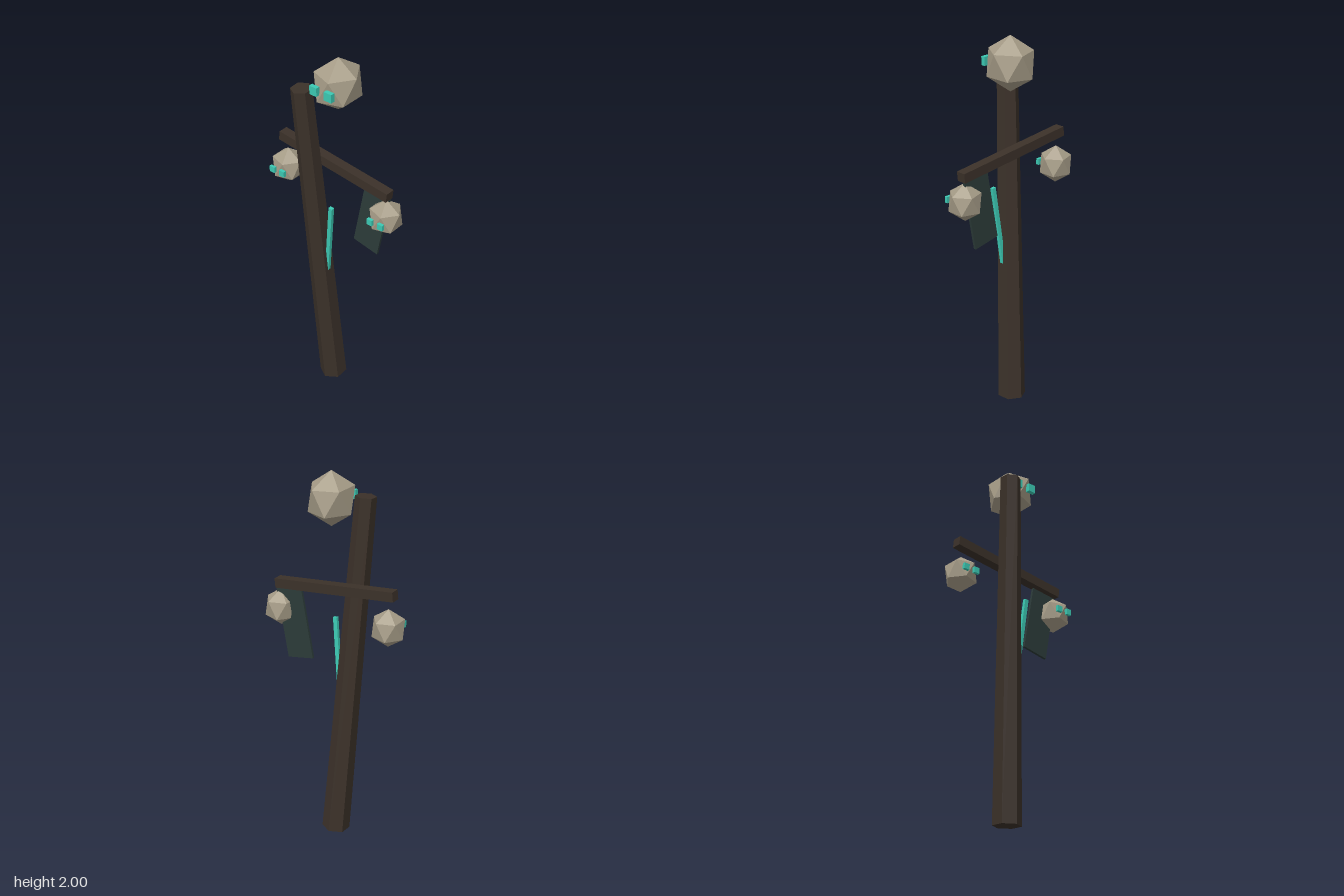
import * as THREE from 'three';

const material = (name, color) => {
  const m = new THREE.MeshStandardMaterial({ color, flatShading: true });
  m.name = name;
  return m;
};

export function createModel() {
  const group = new THREE.Group();
  group.name = 'skullTotem';
  const wood = material('dark wood', 0x3b3129);
  const bone = material('bone', 0xa79d88);
  const glow = material('teal glow', 0x3cc9b3);
  const cloth = material('dark cloth', 0x2c3b39);

  const add = (parent, name, geometry, mat, position, rotation = [0, 0, 0]) => {
    const mesh = new THREE.Mesh(geometry, mat);
    mesh.name = name;
    mesh.position.set(...position);
    mesh.rotation.set(...rotation);
    parent.add(mesh);
    return mesh;
  };

  // Leaning six-sided pole
  add(group, 'pole', new THREE.CylinderGeometry(0.054, 0.073, 1.85, 6), wood,
    [-0.055, 0.932, 0.035], [0.07, 0, 0.049]);

  // Sloping crossbar with a cloth hanging from its left end
  add(group, 'crossbar', new THREE.BoxGeometry(0.69, 0.05, 0.052), wood,
    [-0.006, 1.398, -0.033], [0, 0, -0.107]);
  add(group, 'hangingCloth', new THREE.BoxGeometry(0.152, 0.4, 0.014), cloth,
    [0.226, 1.175, -0.046], [0, 0, -0.18]);

  // Glowing sliver along the side of the pole
  add(group, 'glowingSliver', new THREE.BoxGeometry(0.022, 0.425, 0.018), glow,
    [0.022, 0.99, 0.041], [0.06, 0, -0.105]);

  // Faceted skulls, point upward, each with two block eyes
  const addSkull = (name, center, size, eyeSize, eyeSpread, eyeZ) => {
    const skull = new THREE.Group();
    skull.name = name;
    skull.position.set(...center);
    const head = new THREE.IcosahedronGeometry(1, 0);
    head.rotateZ(-Math.atan(2 / (1 + Math.sqrt(5))));
    head.scale(...size);
    add(skull, 'head', head, bone, [0, 0, 0]);
    for (const side of [-1, 1]) {
      add(skull, side > 0 ? 'leftEye' : 'rightEye',
        new THREE.BoxGeometry(eyeSize, eyeSize, eyeSize / 2), glow,
        [side * eyeSpread, 0, eyeZ]);
    }
    group.add(skull);
  };
  addSkull('topSkull', [0.011, 1.86, -0.036], [0.124, 0.14, 0.136], 0.045, 0.045, 0.12);
  addSkull('rightSkull', [-0.316, 1.26, -0.036], [0.091, 0.1, 0.091], 0.032, 0.032, 0.084);
  addSkull('leftSkull', [0.317, 1.23, -0.036], [0.091, 0.1, 0.091], 0.032, 0.032, 0.084);

  return group;
}
